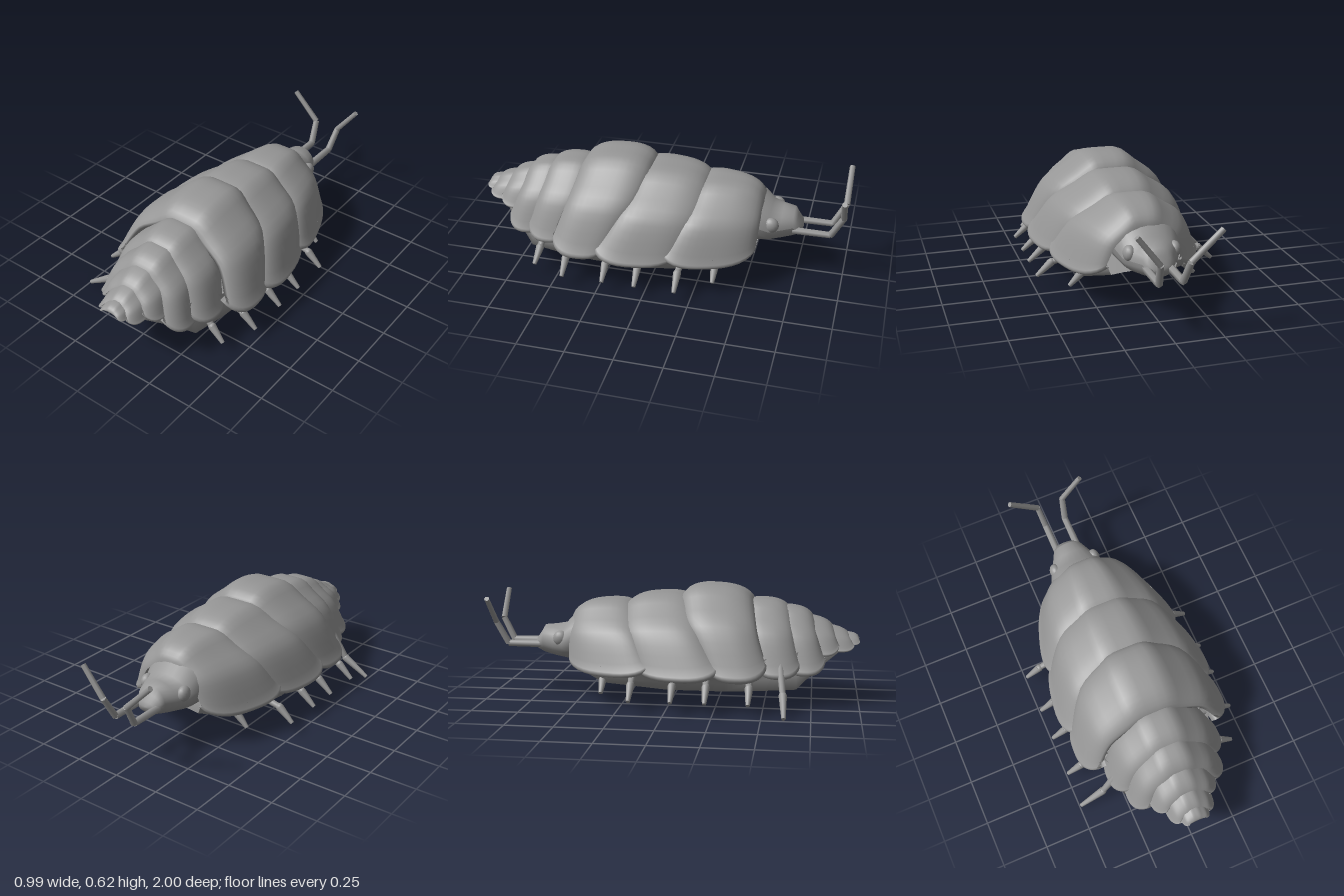
import * as THREE from 'three';

const material = new THREE.MeshStandardMaterial({ color: 0x969696, side: THREE.DoubleSide });
const lerp = THREE.MathUtils.lerp;
const CENTRE = 0.015; // the body sits slightly off the middle

// Smooth surface from rows of points; every row has the same count
function loft(name, rows) {
  const n = rows[0].length;
  const positions = rows.flat(2);
  const index = [];
  for (let r = 0; r < rows.length - 1; r++) {
    for (let c = 0; c < n - 1; c++) {
      const a = r * n + c, b = a + n;
      index.push(a, b, a + 1, b, b + 1, a + 1);
    }
  }
  const geometry = new THREE.BufferGeometry();
  geometry.setAttribute('position', new THREE.Float32BufferAttribute(positions, 3));
  geometry.setIndex(index);
  geometry.computeVertexNormals();
  const mesh = new THREE.Mesh(geometry, material);
  mesh.name = name;
  return mesh;
}

// Tapered rod between two points
function rod(name, from, to, r0, r1, sides) {
  const a = new THREE.Vector3(...from), b = new THREE.Vector3(...to);
  const dir = b.clone().sub(a);
  const mesh = new THREE.Mesh(new THREE.CylinderGeometry(r1, r0, dir.length(), sides), material);
  mesh.position.copy(a).add(b).multiplyScalar(0.5);
  mesh.quaternion.setFromUnitVectors(new THREE.Vector3(0, 1, 0), dir.normalize());
  mesh.name = name;
  return mesh;
}

// Half of the arch, from the crown to the curled lower rim
const arch = new THREE.SplineCurve([
  [0, 1], [0.24, 0.985], [0.45, 0.83], [0.7, 0.64], [0.83, 0.43], [0.95, 0.14], [1, 0.05], [0.97, 0], [0.9, 0.01],
].map(([x, y]) => new THREE.Vector2(x, y)));
const half = arch.getPoints(20).map((p) => [p.x, Math.min(p.y, 1)]);
const fullArch = [...half.slice(1).reverse().map(([x, y]) => [-x, y]), ...half];

// Puffed plate wrapped over the back; its lower lobes sweep towards the tail
function plate({ top, low, w, h, base, puff }) {
  const steps = 16, rows = [];
  for (let i = 0; i <= steps; i++) {
    const v = (1 - Math.cos((i / steps) * Math.PI)) / 2;
    const swell = Math.sqrt(Math.max(0, 1 - Math.pow(Math.abs(2 * v - 1), 2.6)));
    rows.push(fullArch.map(([x, y], c) => {
      const atRim = c === 0 || c === fullArch.length - 1;
      const gap = puff * (1 - (atRim ? 0 : swell));
      const width = lerp(w[0], w[1], v) - gap;
      const bottom = base + gap * 0.8;
      const crown = lerp(h[0], h[1], v) - gap;
      const side = Math.pow(1 - y, 1.3);
      const z = lerp(lerp(top[0], low[0], side), lerp(top[1], low[1], side), v);
      return [CENTRE + x * width, bottom + y * (crown - bottom), z];
    }));
  }
  rows.push(rows[0]); // inner face closes the plate
  return loft('shellPlate', rows);
}

const plates = [
  { top: [-0.56, -0.19], low: [-0.55, -0.08], w: [0.29, 0.44], h: [0.52, 0.545], base: 0.165, puff: 0.09 },
  { top: [-0.27, 0.13], low: [-0.17, 0.28], w: [0.4, 0.475], h: [0.565, 0.585], base: 0.16, puff: 0.09 },
  { top: [0.04, 0.44], low: [0.21, 0.52], w: [0.43, 0.445], h: [0.635, 0.61], base: 0.165, puff: 0.1 },
  { top: [0.36, 0.64], low: [0.46, 0.69], w: [0.33, 0.33], h: [0.56, 0.54], base: 0.17, puff: 0.09 },
  { top: [0.54, 0.77], low: [0.6, 0.82], w: [0.27, 0.28], h: [0.53, 0.49], base: 0.18, puff: 0.095 },
  { top: [0.67, 0.87], low: [0.72, 0.89], w: [0.185, 0.185], h: [0.48, 0.43], base: 0.27, puff: 0.065 },
  { top: [0.79, 0.95], low: [0.83, 0.97], w: [0.135, 0.125], h: [0.425, 0.385], base: 0.285, puff: 0.04 },
  { top: [0.91, 0.995], low: [0.93, 1.0], w: [0.08, 0.075], h: [0.38, 0.365], base: 0.315, puff: 0.022 },
];

// Dished underside: z, half width, rim height, middle height, then width and height of the edge under the shell
const bellyRows = [
  [-0.54, 0.17, 0.19, 0.2, 0.2, 0.27], [-0.35, 0.28, 0.12, 0.14, 0.34, 0.22], [0, 0.32, 0.1, 0.15, 0.4, 0.22],
  [0.3, 0.32, 0.1, 0.18, 0.39, 0.23], [0.5, 0.3, 0.105, 0.21, 0.3, 0.27], [0.67, 0.27, 0.11, 0.25, 0.24, 0.3],
  [0.77, 0.2, 0.2, 0.29, 0.18, 0.32], [0.94, 0.08, 0.32, 0.335, 0.07, 0.345],
];
function belly() {
  return loft('belly', bellyRows.map(([z, w, rim, mid, edge, shell]) => {
    const side = [[edge, shell], [lerp(w, edge, 0.35), lerp(rim, shell, 0.35)], [w, rim],
      [w * 0.85, lerp(rim, mid, 0.3)], [w * 0.6, lerp(rim, mid, 0.75)], [w * 0.3, mid]];
    const across = [...side.map(([x, y]) => [-x, y]), [0, mid], ...side.reverse()];
    return across.map(([x, y]) => [CENTRE + x, y, z]);
  }));
}

// Head: z, half width, bottom, top
const headRows = [
  [-0.46, 0.18, 0.19, 0.48], [-0.55, 0.165, 0.19, 0.45], [-0.6, 0.148, 0.2, 0.395], [-0.66, 0.115, 0.21, 0.385],
  [-0.72, 0.085, 0.225, 0.38], [-0.74, 0.075, 0.235, 0.345], [-0.765, 0.055, 0.25, 0.31], [-0.772, 0.002, 0.279, 0.281],
];
function head() {
  return loft('head', headRows.map(([z, w, low, high]) => Array.from({ length: 25 }, (_, i) => {
    const a = (i / 24) * Math.PI * 2;
    return [-0.005 + Math.cos(a) * w, (low + high) / 2 + Math.sin(a) * (high - low) / 2, z];
  })));
}

// Leg: thin upper part, knuckle and a tapered foot
function leg(hip, knee, tip) {
  const group = new THREE.Group();
  group.name = 'leg';
  const knuckle = new THREE.Mesh(new THREE.SphereGeometry(0.021, 10, 8), material);
  knuckle.position.set(...knee);
  knuckle.name = 'knuckle';
  group.add(rod('upperLeg', hip, knee, 0.022, 0.016, 10), knuckle, rod('foot', knee, tip, 0.022, 0.011, 10));
  return group;
}

export function createModel() {
  const model = new THREE.Group();
  model.name = 'woodlouse';
  plates.forEach((p) => model.add(plate(p)));
  model.add(belly(), head());

  for (const side of [-1, 1]) {
    // Eyes
    const eye = new THREE.Mesh(new THREE.SphereGeometry(1, 16, 12), material);
    eye.scale.set(0.032, 0.042, 0.042);
    eye.position.set(-0.005 + side * 0.117, 0.325, -0.61);
    eye.name = 'eye';
    model.add(eye);

    // Antennae, bent twice
    const tip = side < 0 ? -0.23 : 0.19;
    const points = [[side * 0.06, 0.28, -0.72], [side * 0.06, 0.28, -0.92],
      [side * 0.075, 0.4, -0.983], [tip, 0.55, -0.985]];
    const antenna = new THREE.Group();
    antenna.name = 'antenna';
    for (let i = 0; i < 3; i++) {
      antenna.add(rod('antennaSegment', points[i], points[i + 1], 0.021 - i * 0.002, 0.019 - i * 0.002, 6));
    }
    model.add(antenna);

    // Walking legs
    for (const z of [-0.175, 0.04, 0.215, 0.435]) {
      model.add(leg([side * 0.26, 0.19, z - 0.01], [side * 0.41, 0.145, z], [side * 0.49, 0.075, z]));
    }
    const near = (x) => CENTRE + side * x;
    model.add(leg([near(0.2), 0.19, -0.35], [near(0.28), 0.135, -0.35], [near(0.34), 0.075, -0.35]));
  }

  // Hindmost pair, the right one stretched out
  model.add(leg([0.24, 0.23, 0.59], [0.34, 0.14, 0.605], [0.415, 0.075, 0.615]));
  model.add(leg([-0.24, 0.29, 0.58], [-0.355, 0.1, 0.605], [-0.49, 0.012, 0.615]));
  return model;
}
